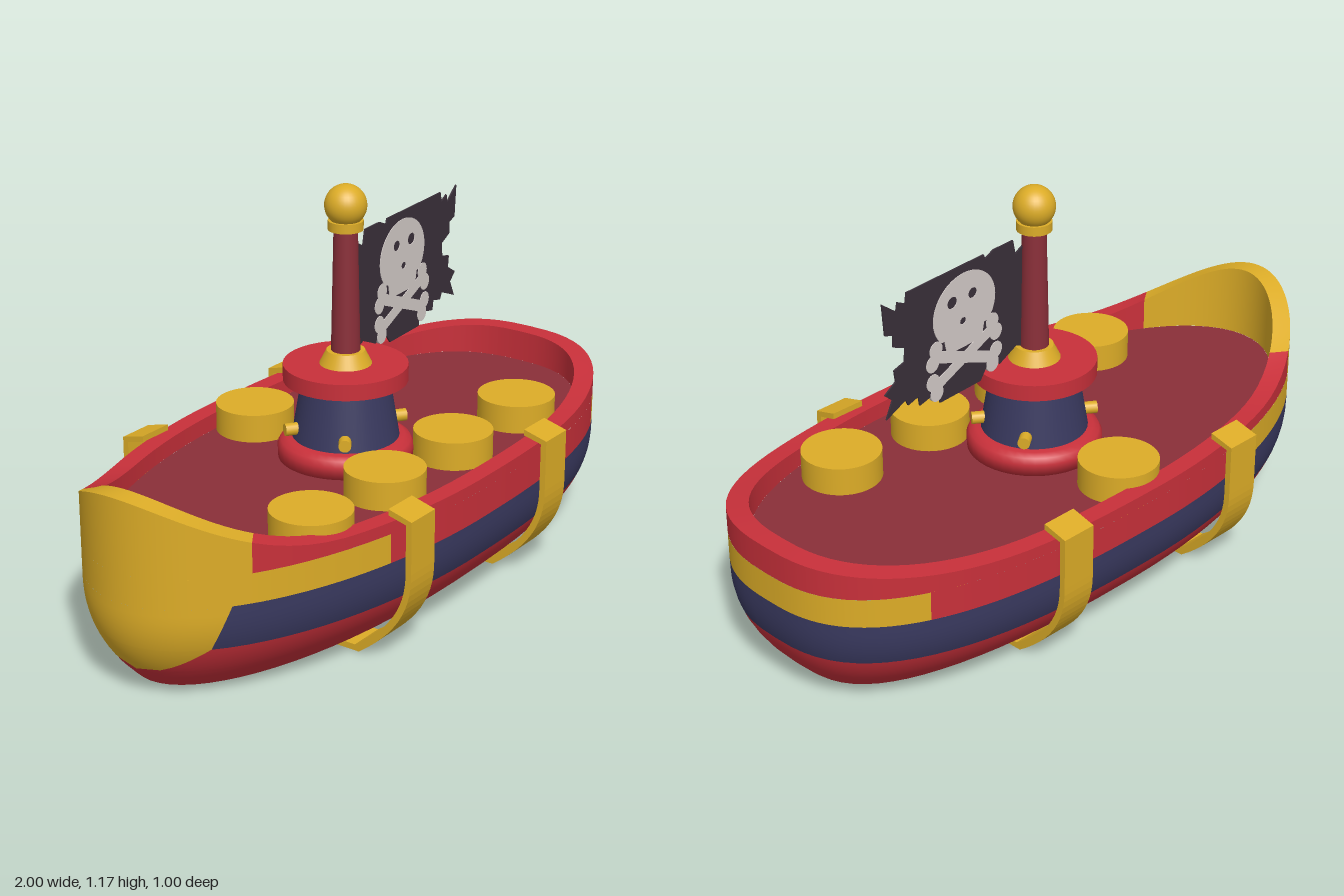
import * as THREE from 'three';

const std = (name, color) => Object.assign(new THREE.MeshStandardMaterial({ color }), { name });
const red = std('red paint', 0xc8303a);
const darkRed = std('dark red wood', 0x8a2f39);
const navy = std('navy paint', 0x39395f);
const gold = std('gold paint', 0xdcac27);
const black = std('flag black', 0x3a303a);
const bone = std('bone white', 0xd4ccc9);

const lerp = THREE.MathUtils.lerp;
const STERN = 2.65, HALF = 0.478, BOTTOM = 0.02, DECK = 0.37;

// Hull plan: a = 0 at the bow (-x), PI at the blunter stern (+x)
function plan(a) {
  const c = Math.cos(a), s = Math.sin(a), p = c < 0 ? 2 / STERN : 1;
  return [-Math.sign(c) * Math.abs(c) ** p, HALF * Math.sign(s) * Math.abs(s) ** p];
}
const angleAt = x => Math.acos(x < 0 ? -x : -(x ** (STERN / 2)));
const sheer = x => 0.42 + 0.172 * Math.max(0, (-x - 0.5) / 0.5) ** 2.4 + 0.047 * Math.max(0, (x - 0.4) / 0.6) ** 2;
const tuck = y => Math.max(0, (0.28 - y) / 0.26) ** 2.3;

function side(a, y) {
  const [x, z] = plan(a), t = tuck(y);
  return new THREE.Vector3(x * (1 - 0.12 * t), y, z * (1 - 0.33 * t));
}
function inner(a, y) {
  const [x, z] = plan(a);
  return new THREE.Vector3(x * 0.94, y, z * 0.885);
}
const top = a => sheer(plan(a)[0]);

// Grid over surface f(a, v), between the angles given by range(v)
function patch(name, mat, range, f, rows = 4, cols = 72) {
  const pos = [], nor = [], idx = [], e = 1e-3;
  for (let j = 0; j <= rows; j++) {
    const v = j / rows, [a0, a1] = range(v);
    for (let i = 0; i <= cols; i++) {
      const a = lerp(a0, a1, i / cols);
      const vn = THREE.MathUtils.clamp(v, 0.02, 0.98);
      const du = f(a + e, vn).sub(f(a - e, vn)), dv = f(a, vn + e).sub(f(a, vn - e));
      pos.push(...f(a, v).toArray());
      nor.push(...du.cross(dv).normalize().toArray());
      if (i < cols && j < rows) {
        const k = j * (cols + 1) + i, n = k + cols + 1;
        idx.push(k, k + 1, n + 1, k, n + 1, n);
      }
    }
  }
  const g = new THREE.BufferGeometry();
  g.setAttribute('position', new THREE.Float32BufferAttribute(pos, 3));
  g.setAttribute('normal', new THREE.Float32BufferAttribute(nor, 3));
  g.setIndex(idx);
  return mesh(name, g, mat);
}

function mesh(name, geo, mat, x = 0, y = 0, z = 0) {
  const m = new THREE.Mesh(geo, mat);
  m.name = name;
  m.position.set(x, y, z);
  return m;
}

function buildHull() {
  const g = new THREE.Group(), TAU = Math.PI * 2;
  g.name = 'hull';
  const all = () => [0, TAU];
  const band = (y0, y1) => (a, v) => side(a, lerp(y0, y1, v));
  // A gold bow section and the rest of the loop, split at x = edge(v)
  const split = (name, mat, edge, f, rows) => {
    g.add(patch(name + 'Bow', gold, v => [-angleAt(edge(v)), angleAt(edge(v))], f, rows, 32));
    g.add(patch(name, mat, v => [angleAt(edge(v)), TAU - angleAt(edge(v))], f, rows));
  };
  g.add(patch('hullBottom', red, all, (a, v) => side(a, BOTTOM).multiply(new THREE.Vector3(v, 1, v)), 2));
  g.add(patch('lowerHull', red, all, band(BOTTOM, 0.08)));
  split('bilge', red, v => lerp(-1, -0.89, v), band(0.08, 0.175), 6);
  split('waterlineStripe', navy, v => lerp(-0.89, -0.845, v), band(0.175, 0.3), 6);

  // Gold stripes at bow and stern with red between them
  const b = angleAt(-0.4), s = angleAt(0.76), stripe = band(0.3, 0.385);
  g.add(patch('bowStripe', gold, () => [-b, b], stripe, 1, 48));
  g.add(patch('sternStripe', gold, () => [s, TAU - s], stripe, 1, 48));
  g.add(patch('sidePanel', red, () => [b, s], stripe, 1, 32));
  g.add(patch('sidePanel', red, () => [TAU - s, TAU - b], stripe, 1, 32));

  // Bulwark, rim and inner wall follow the sheer line
  const edge = () => -0.8;
  split('bulwark', red, edge, (a, v) => side(a, lerp(0.385, top(a), v)), 2);
  split('rim', red, edge, (a, v) => side(a, top(a)).lerp(inner(a, top(a)), v), 1);
  split('innerWall', red, edge, (a, v) => inner(a, lerp(top(a), DECK, v)), 2);
  g.add(patch('deck', darkRed, all, (a, v) => inner(a, DECK).multiply(new THREE.Vector3(1 - v, 1, 1 - v)), 2));
  return g;
}

// U-shaped band hugging the hull, hooked over the rim
function strapGeometry() {
  const outer = [], inside = [];
  for (let i = 0; i <= 14; i++) {
    const y = 0.3 * i / 14, t = Math.max(0, (0.28 - y) / 0.28) ** 2.3;
    outer.push([0.5 - 0.17 * t, y]);
    inside.push([0.482 - 0.165 * t, 0.018 + y * 0.94]);
  }
  outer.push([0.5, 0.432], [0.425, 0.452]);
  inside.push([0.482, 0.42], [0.425, 0.434]);
  const flip = pts => pts.map(([x, y]) => [-x, y]);
  const loop = [...flip(outer).reverse(), ...outer, ...inside.slice().reverse(), ...flip(inside)];
  const shape = new THREE.Shape(loop.map(p => new THREE.Vector2(...p)));
  return new THREE.ExtrudeGeometry(shape, { depth: 0.11, bevelEnabled: false })
    .translate(0, 0, -0.055).rotateY(Math.PI / 2);
}

function buildTower() {
  const g = new THREE.Group();
  g.name = 'tower';
  const drum = (name, mat, rTop, rBottom, y0, y1) =>
    g.add(mesh(name, new THREE.CylinderGeometry(rTop, rBottom, y1 - y0, 40), mat, 0, (y0 + y1) / 2, 0));
  const ring = [[0, DECK], [0.195, DECK], [0.196, 0.405], [0.187, 0.422], [0.17, 0.432], [0.14, 0.435]];
  g.add(mesh('towerBase', new THREE.LatheGeometry(ring.map(p => new THREE.Vector2(...p)), 40), red));
  drum('towerBody', navy, 0.126, 0.155, 0.43, 0.605);
  drum('towerPlatform', red, 0.179, 0.179, 0.602, 0.65);
  drum('mastFoot', gold, 0.055, 0.075, 0.65, 0.69);
  drum('mast', darkRed, 0.034, 0.042, 0.68, 1.05);
  drum('mastCollar', gold, 0.05, 0.05, 1.045, 1.072);
  g.add(mesh('mastBall', new THREE.SphereGeometry(0.06, 32, 20), gold, 0, 1.115, 0));
  for (const sx of [-1, 1]) for (const sz of [-1, 1]) {
    const knob = mesh('towerKnob', new THREE.CylinderGeometry(0.018, 0.018, 0.06, 16).rotateZ(Math.PI / 2), gold,
      sx * 0.125, 0.467, sz * 0.088);
    knob.rotation.y = -Math.atan2(sz * 0.088, sx * 0.125);
    g.add(knob);
  }
  return g;
}

function plate(shapes, depth) {
  return new THREE.ExtrudeGeometry(shapes, { depth, bevelEnabled: false, curveSegments: 16 }).translate(0, 0, -depth / 2);
}

function buildFlag() {
  const g = new THREE.Group();
  g.name = 'flag';
  // Tattered cloth outline
  const cloth = [[0.03, 0.69], [0.06, 0.7], [0.13, 0.67], [0.14, 0.69], [0.18, 0.69], [0.21, 0.65], [0.375, 0.65],
    [0.38, 0.69], [0.455, 0.675], [0.46, 0.705], [0.5, 0.695], [0.51, 0.715], [0.585, 0.685], [0.56, 0.735],
    [0.588, 0.76], [0.545, 0.785], [0.55, 0.82], [0.51, 0.83], [0.505, 0.87], [0.55, 0.89], [0.55, 0.925],
    [0.58, 0.935], [0.588, 1.03], [0.535, 0.99], [0.53, 1.015], [0.5, 1.0], [0.495, 1.03], [0.19, 1.03],
    [0.185, 1.015], [0.15, 1.03], [0.07, 1.03], [0.06, 0.985], [0.03, 1.0]];
  g.add(mesh('flagCloth', plate(new THREE.Shape(cloth.map(p => new THREE.Vector2(...p))), 0.005), black));

  // Skull with eye and nose holes, visible on both faces
  const skull = new THREE.Shape();
  skull.moveTo(0.205, 0.785).lineTo(0.345, 0.785).lineTo(0.355, 0.83);
  skull.absellipse(0.273, 0.9, 0.125, 0.107, -0.7, Math.PI + 0.7, false);
  skull.lineTo(0.195, 0.83);
  for (const [x, y, rx, ry] of [[0.24, 0.935, 0.017, 0.015], [0.322, 0.935, 0.019, 0.017], [0.28, 0.865, 0.012, 0.01]])
    skull.holes.push(new THREE.Path().absellipse(x, y, rx, ry, 0, Math.PI * 2, true));
  g.add(mesh('skull', plate(skull, 0.009), bone));

  // Crossed bones with paired knuckles
  for (const s of [-1, 1]) {
    const w = 0.017, l = 0.13;
    const shapes = [new THREE.Shape([[-l, -w], [l, -w], [l, w], [-l, w]].map(p => new THREE.Vector2(...p)))];
    for (const x of [-l, l]) for (const y of [-0.02, 0.02])
      shapes.push(new THREE.Shape().absarc(x, y, 0.025, 0, Math.PI * 2, false));
    const b = mesh('crossedBone', plate(shapes, 0.009), bone, 0.275, 0.752, 0);
    b.rotation.z = s * 0.37;
    g.add(b);
  }
  g.position.z = 0.02;
  g.rotation.y = 0.07;
  return g;
}

export function createModel() {
  const model = new THREE.Group();
  model.name = 'toyShip';
  model.add(buildHull(), buildTower(), buildFlag());
  const strap = strapGeometry();
  for (const x of [-0.34, 0.338]) model.add(mesh('hullStrap', strap, gold, x));
  // Round pegs on the deck
  const peg = new THREE.CylinderGeometry(0.115, 0.115, 0.085, 40);
  for (const [x, z] of [[-0.51, 0.257], [-0.17, 0.257], [0.17, 0.257], [0.51, 0.257], [0, -0.33]])
    model.add(mesh('deckPeg', peg, gold, x, DECK + 0.041, z));
  return model;
}
